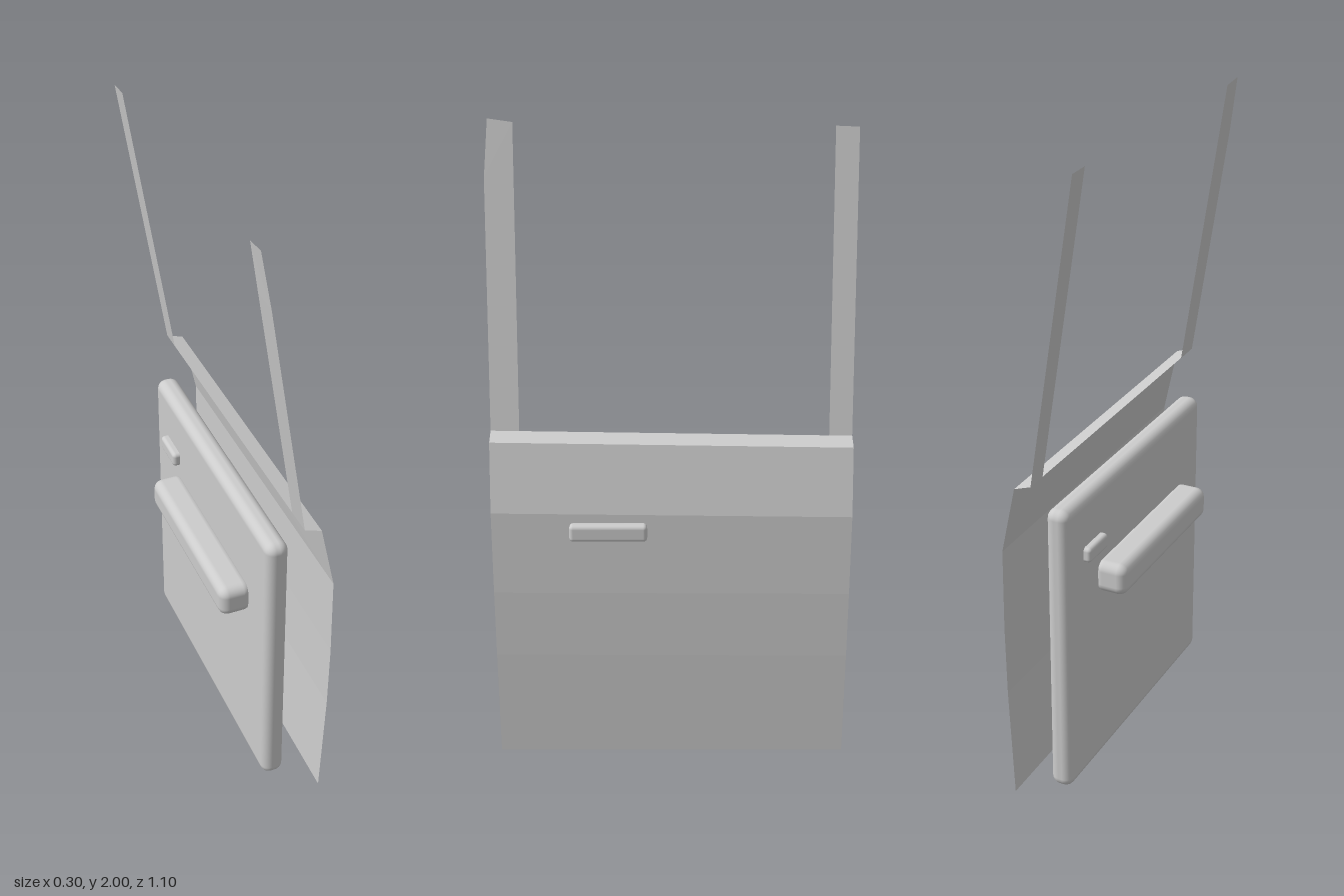
import * as THREE from 'three';
import { RoundedBoxGeometry } from 'three/addons/geometries/RoundedBoxGeometry.js';

// Thin sheet lofted from top to bottom; each row is [front point, back point]
function sheet(name, rows, material) {
  const pos = [];
  for (let i = 0; i < rows.length - 1; i++) {
    const [a, b] = rows[i];
    const [c, d] = rows[i + 1];
    pos.push(...a, ...c, ...b, ...b, ...c, ...d);
  }
  const geo = new THREE.BufferGeometry();
  geo.setAttribute('position', new THREE.Float32BufferAttribute(pos, 3));
  geo.computeVertexNormals();
  const mesh = new THREE.Mesh(geo, material);
  mesh.name = name;
  return mesh;
}

// Soft-edged block given by its minimum and maximum corners
function block(name, min, max, radius, material) {
  const size = max.map((v, i) => v - min[i]);
  const mesh = new THREE.Mesh(new RoundedBoxGeometry(...size, 3, radius), material);
  mesh.position.set(...max.map((v, i) => (v + min[i]) / 2));
  mesh.name = name;
  return mesh;
}

export function createModel() {
  const door = new THREE.Group();
  door.name = 'vehicleDoor';
  const grey = new THREE.MeshStandardMaterial({ color: 0xcccccc });
  grey.name = 'lightGrey';
  const greySheet = new THREE.MeshStandardMaterial({ color: 0xcccccc, side: THREE.DoubleSide });
  greySheet.name = 'lightGreySheet';

  // Outer skin: window ledge, sloped shoulder and gently bowed side
  // [x, y at the front edge, y at the back edge]
  const profile = [
    [0.01, 1.08, 1.063], [0.063, 1.062, 1.045], [0.108, 0.848, 0.835],
    [0.11, 0.58, 0.575], [0.106, 0.36, 0.355], [0.09, 0, 0],
  ];
  door.add(sheet('outerSkin',
    profile.map(([x, yf, yb]) => [[x, yf, 0.55], [x, yb, -0.55]]), greySheet));

  // Window pillars leaning inwards
  door.add(sheet('frontPillar', [
    [[-0.13, 2, 0.537], [-0.128, 1.99, 0.463]],
    [[-0.104, 1.83, 0.55], [-0.104, 1.83, 0.463]],
    [[0.01, 1.08, 0.55], [0.01, 1.078, 0.463]],
  ], greySheet));
  door.add(sheet('backPillar', [
    [[-0.134, 1.978, -0.48], [-0.134, 1.975, -0.55]],
    [[0.01, 1.064, -0.48], [0.01, 1.063, -0.55]],
  ], greySheet));

  // Inner trim and handles
  door.add(block('innerPanel', [-0.062, 0.004, -0.478], [0.01, 0.957, 0.462], 0.03, grey));
  door.add(block('armrest', [-0.152, 0.603, -0.285], [-0.045, 0.706, 0.325], 0.03, grey));
  door.add(block('innerHandle', [-0.085, 0.752, -0.375], [-0.045, 0.8, -0.255], 0.012, grey));
  door.add(block('outerHandle', [0.112, 0.768, 0.074], [0.148, 0.822, 0.311], 0.012, grey));

  return door;
}
